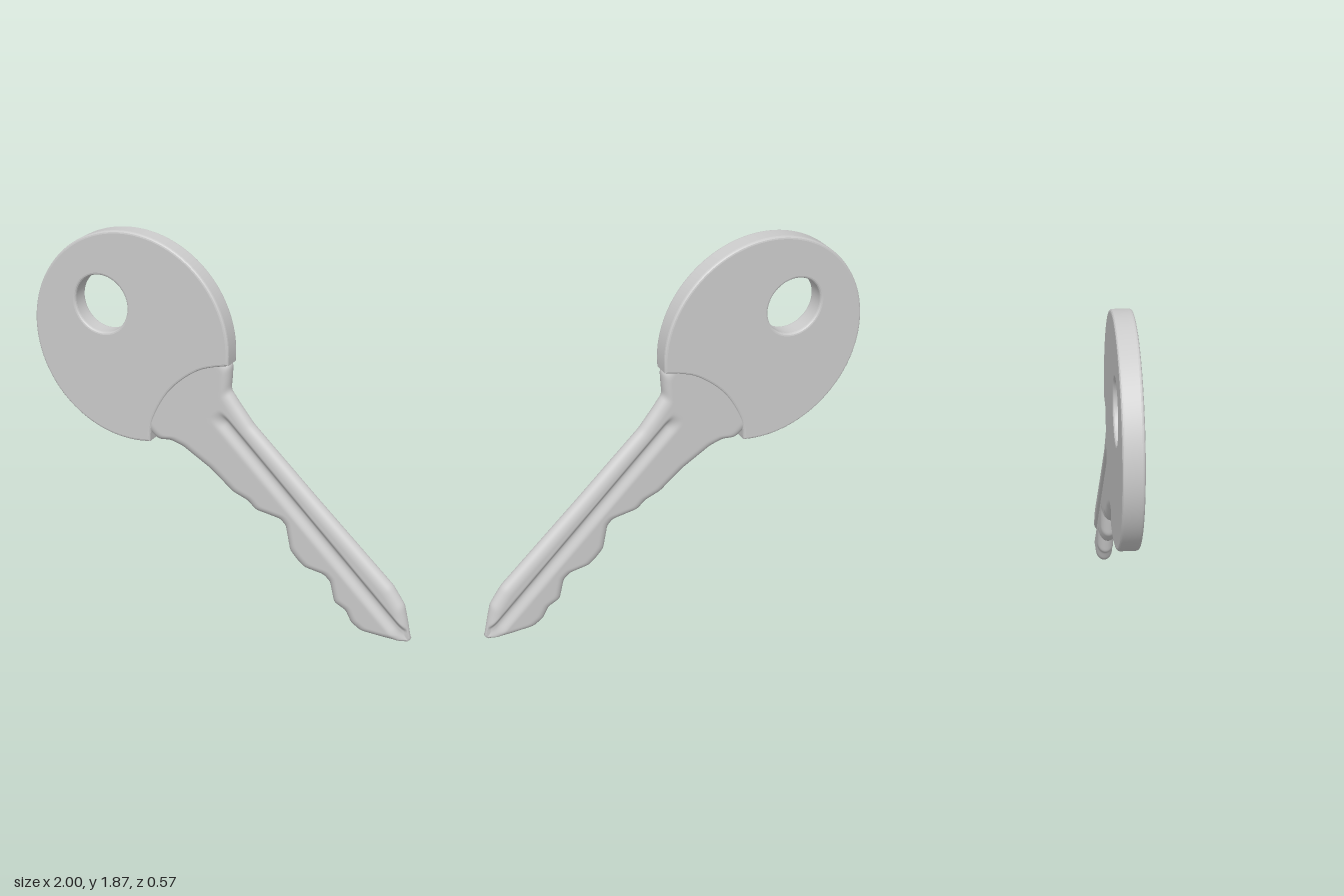
import * as THREE from 'three';
import { toCreasedNormals } from 'three/addons/utils/BufferGeometryUtils.js';

const TILT = 0.245, C = Math.cos(TILT);
const R2 = Math.SQRT2;
const material = new THREE.MeshStandardMaterial({ color: 0xcccccc });

// Round bow: a disc with a hanging hole, cut by an arc where the shoulder begins
function bowGeometry() {
  const cx = -0.48, cy = 1.333, r = 0.541, N = 110, pts = [];
  const a0 = -0.09, a1 = Math.PI * 2 - 1.38;
  for (let i = 0; i <= N; i++) {
    const a = a0 + (a1 - a0) * i / N;
    pts.push(new THREE.Vector2(cx + r * Math.cos(a), cy + r * Math.sin(a)));
  }
  const arc = new THREE.SplineCurve([
    pts[N].clone(),
    ...[[-0.345, 0.93], [-0.25, 1.1], [-0.1, 1.23]].map(([x, y]) => new THREE.Vector2(x / C, y)),
    pts[0].clone(),
  ]);
  pts.push(...arc.getPoints(36).slice(1, -1));
  const shape = new THREE.Shape(pts);
  const hole = new THREE.Path();
  hole.absarc(-0.635, 1.488, 0.146, 0, Math.PI * 2, true);
  shape.holes.push(hole);
  const bevel = 0.013, thick = 0.098;
  const g = new THREE.ExtrudeGeometry(shape, {
    depth: thick - 2 * bevel, curveSegments: 32, bevelEnabled: true,
    bevelThickness: bevel, bevelSize: bevel, bevelOffset: -bevel, bevelSegments: 3,
  });
  g.translate(0, 0, -thick / 2 + bevel);
  return toCreasedNormals(g, 0.22);
}

// Blade outline, turned into distance along (t) and across (s) the diagonal
const toTS = ([x, y]) => [(x - y) / R2, (x + y) / R2];
const spine = [[0.06, 1.28], [0.055, 1.2], [0.05, 1.15], [0.1, 1.08], [0.17, 0.99], [0.5, 0.67],
  [0.9, 0.29], [0.96, 0.2], [0.985, 0.09], [0.998, 0.022]].map(toTS);
const teeth = [[-0.36, 0.83], [-0.33, 0.81], [-0.27, 0.82], [-0.2, 0.8], [-0.05, 0.71], [0.07, 0.61],
  [0.15, 0.58], [0.19, 0.54], [0.32, 0.52], [0.35, 0.49], [0.375, 0.36], [0.41, 0.32], [0.45, 0.285],
  [0.55, 0.27], [0.585, 0.24], [0.61, 0.13], [0.67, 0.1], [0.7, 0.04], [0.75, 0.008],
  [0.96, 0.002], [0.99, 0.016]].map(toTS);

function lookup(line, t) {
  if (t <= line[0][0]) return line[0][1];
  for (let i = 1; i < line.length; i++) {
    const [t0, s0] = line[i - 1], [t1, s1] = line[i];
    if (t <= t1) return s0 + (s1 - s0) * (t - t0) / (t1 - t0);
  }
  return line[line.length - 1][1];
}
// Averaging nearby samples softens the corners
function soft(line, t) {
  let sum = 0;
  for (let k = -3; k <= 3; k++) sum += lookup(line, t + k * 0.004);
  return sum / 7;
}

// Blade: cross-sections with rounded edges and a groove on both faces
function bladeGeometry() {
  const n = 64, stations = 190, tStart = -1, tEnd = 0.69, loop = 2 * n;
  const pos = [], index = [];
  const step = THREE.MathUtils.smoothstep;
  const put = (t, s, w) => pos.push((t + s) / R2 / C, (s - t) / R2, w);

  for (let j = 0; j <= stations; j++) {
    const t = tStart + (tEnd - tStart) * j / stations;
    const low = soft(teeth, t), high = Math.max(soft(spine, t), low + 0.004);
    const half = 0.043 * (1 - 0.25 * step(t, 0.6, 0.69));
    const round = Math.min(0.055, (high - low) / 2);
    const grooveDepth = 0.021 * step(t, -0.74, -0.66);
    for (let i = 0; i < loop; i++) {
      const front = i <= n, k = front ? i : loop - i;
      const s = low + (high - low) * (0.5 - 0.5 * Math.cos(Math.PI * k / n));
      const d = Math.min(s - low, high - s);
      const e = Math.max(0, 1 - d / round);
      let h = half * Math.sqrt(Math.max(0, 1 - e * e));
      // groove: gentle lower slope, steep upper wall
      const g = step(s, 0.665, 0.72) * (1 - step(s, 0.728, 0.758));
      h = Math.max(Math.min(h, 0.012), h - grooveDepth * g);
      put(t, s, front ? h : -h);
    }
  }
  // closing point at the tip
  const mid = (soft(teeth, tEnd) + soft(spine, tEnd)) / 2;
  put(tEnd, mid, 0);
  const tip = (stations + 1) * loop;

  for (let j = 0; j < stations; j++) {
    for (let i = 0; i < loop; i++) {
      const i1 = (i + 1) % loop;
      const a = j * loop + i, b = a + loop, c = (j + 1) * loop + i1, d = j * loop + i1;
      index.push(a, b, c, a, c, d);
    }
  }
  for (let i = 0; i < loop; i++) {
    index.push(stations * loop + i, tip, stations * loop + (i + 1) % loop);
  }
  const g = new THREE.BufferGeometry();
  g.setAttribute('position', new THREE.Float32BufferAttribute(pos, 3));
  g.setIndex(index);
  g.computeVertexNormals();
  return g;
}

export function createModel() {
  const model = new THREE.Group();
  model.name = 'key';
  const add = (name, geometry) => {
    const mesh = new THREE.Mesh(geometry, material);
    mesh.name = name;
    model.add(mesh);
  };
  add('bow', bowGeometry());
  add('blade', bladeGeometry());
  model.rotation.y = TILT;
  return model;
}
